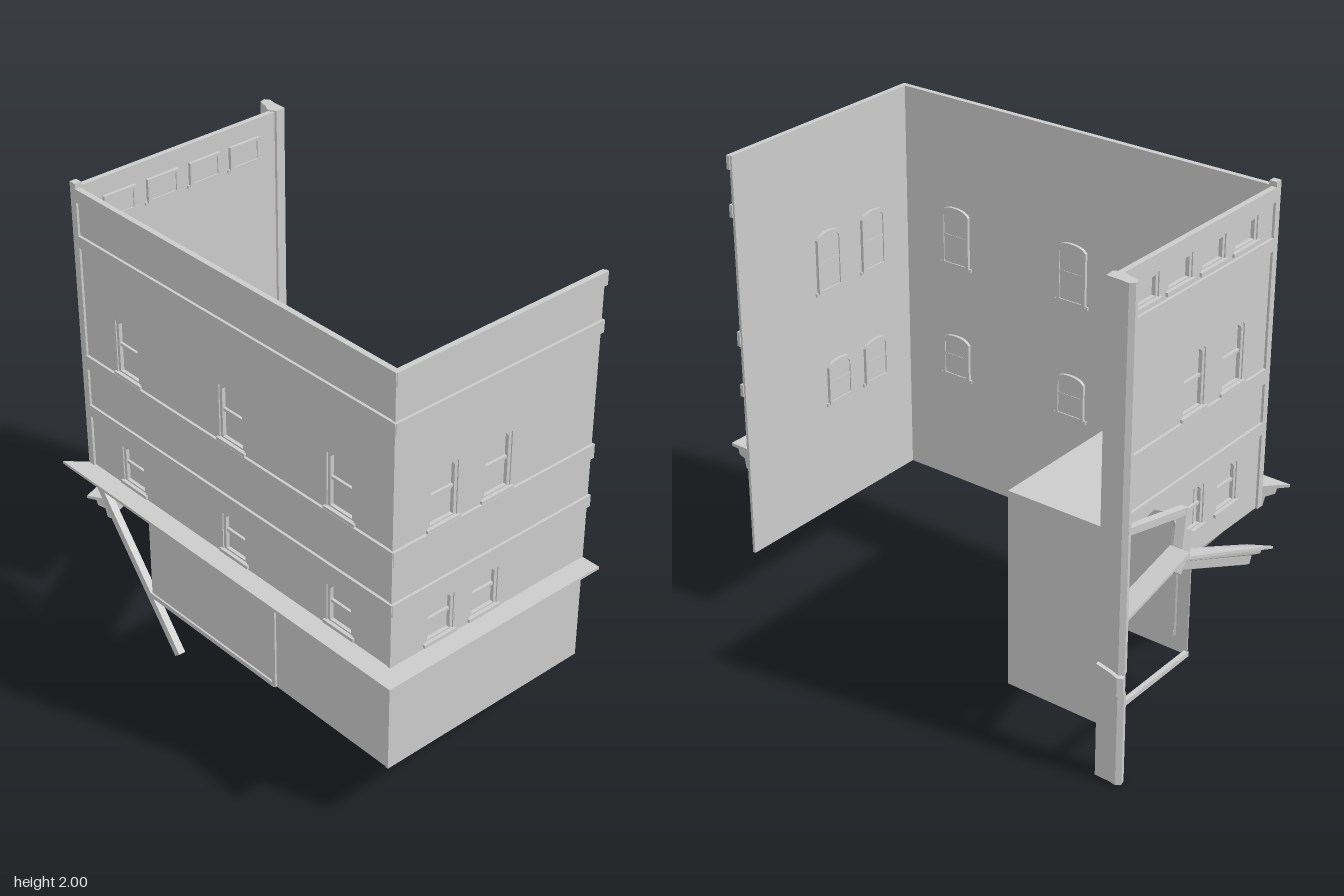
import * as THREE from 'three';

const mat = new THREE.MeshStandardMaterial({ color: 0xcccccc, side: THREE.DoubleSide, flatShading: true });

function add(parent, name, geo) {
  const m = new THREE.Mesh(geo, mat);
  m.name = name;
  parent.add(m);
  return m;
}

// Box given by its minimum and maximum corners
function block(parent, name, x0, x1, y0, y1, z0, z1) {
  const m = add(parent, name, new THREE.BoxGeometry(x1 - x0, y1 - y0, z1 - z0));
  m.position.set((x0 + x1) / 2, (y0 + y1) / 2, (z0 + z1) / 2);
  return m;
}

// Square bar between two points
function bar(parent, name, a, b, w, d) {
  const p = new THREE.Vector3(...a), q = new THREE.Vector3(...b);
  const m = add(parent, name, new THREE.BoxGeometry(w, d, p.distanceTo(q)));
  m.position.copy(p).add(q).multiplyScalar(0.5);
  m.lookAt(q);
  return m;
}

// Skin between closed cross-sections, with flat end caps
function loft(sections) {
  const n = sections[0].length, pos = [], idx = [];
  sections.forEach(s => s.forEach(p => pos.push(...p)));
  for (let s = 0; s < sections.length - 1; s++)
    for (let i = 0; i < n; i++) {
      const a = s * n + i, b = s * n + (i + 1) % n;
      idx.push(a, b, a + n, b, b + n, a + n);
    }
  const last = (sections.length - 1) * n;
  const flat = sections[0].map(p => new THREE.Vector2(p[0] + p[2], p[1]));
  for (const [a, b, c] of THREE.ShapeUtils.triangulateShape(flat, []))
    idx.push(a, c, b, last + a, last + b, last + c);
  const g = new THREE.BufferGeometry();
  g.setAttribute('position', new THREE.Float32BufferAttribute(pos, 3));
  g.setIndex(idx);
  const out = g.toNonIndexed();
  out.computeVertexNormals();
  return out;
}

const extrude = (shape, depth) =>
  new THREE.ExtrudeGeometry(shape, { depth, bevelEnabled: false, curveSegments: 6 });

// Window outline: rectangle with an optional shallow arched head
function opening(Type, u, y0, y1, w, rise) {
  const s = new Type(), h = w / 2;
  s.moveTo(u - h, y0);
  s.lineTo(u + h, y0);
  s.lineTo(u + h, y1 - rise);
  if (rise) s.quadraticCurveTo(u + h * 0.75, y1, u, y1).quadraticCurveTo(u - h * 0.75, y1, u - h, y1 - rise);
  else s.lineTo(u - h, y1);
  s.closePath();
  return s;
}

// Sash window set into the wall, with sill
function addWindow(wall, [u, y0, y1, w, rise]) {
  const g = new THREE.Group();
  g.name = 'window';
  wall.add(g);
  const ring = opening(THREE.Shape, u, y0, y1, w, rise);
  ring.holes.push(opening(THREE.Path, u, y0 + 0.012, y1 - 0.012, w - 0.028, rise));
  add(g, 'windowFrame', extrude(ring, 0.02)).position.z = -0.025;
  add(g, 'windowPane', new THREE.ShapeGeometry(opening(THREE.Shape, u, y0, y1, w, rise), 6)).position.z = -0.02;
  const mid = (y0 + y1) / 2;
  if (rise) block(g, 'meetingRail', u - w / 2, u + w / 2, mid - 0.006, mid + 0.006, -0.022, -0.009);
  block(g, 'windowSill', u - w / 2 - 0.01, u + w / 2 + 0.01, y0 - 0.008, y0 + 0.006, -0.02, 0.01);
}

// Wall sheet with outline, window openings and raised bands; local +z is outside
function makeWall(name, outline, windows, bands, u0, u1) {
  const wall = new THREE.Group();
  wall.name = name;
  const shape = new THREE.Shape(outline.map(p => new THREE.Vector2(...p)));
  for (const w of windows) shape.holes.push(opening(THREE.Path, ...w));
  add(wall, name + 'Face', extrude(shape, 0.012)).position.z = -0.012;
  for (const [y0, y1] of bands) block(wall, 'band', u0, u1, y0, y1, -0.004, 0.011);
  for (const w of windows) addWindow(wall, w);
  return wall;
}

const upper = u => [u, 1.272, 1.525, 0.138, 0.025];
const lower = u => [u, 0.772, 0.96, 0.138, 0.025];
const BANDS = [[1.925, 1.98], [1.735, 1.785], [1.205, 1.265], [0.99, 1.04]];
// Ledge profile: distance from wall, height
const LEDGE = [[0, 0.665], [0.012, 0.67], [0.018, 0.71], [0.045, 0.72], [0.05, 0.743], [0.085, 0.745], [0.085, 0.757], [0, 0.757]];

export function createModel() {
  const model = new THREE.Group();
  model.name = 'ruinedBuilding';

  // Front wall
  const front = makeWall('frontWall', [[-0.475, 0.29], [0.515, 0.29], [0.515, 1.98], [-0.475, 1.98]],
    [upper(-0.24), upper(0.022), lower(-0.236), lower(-0.015)], BANDS, -0.48, 0.52);
  front.position.z = 0.877;
  model.add(front);

  // Side wall, its lower back corner missing
  const side = makeWall('sideWall',
    [[-0.5, 0.29], [0.877, 0.29], [0.877, 1.98], [-0.845, 1.98], [-0.845, 0.68], [-0.5, 0.68]],
    [0.61, 0.03, -0.575].flatMap(z => [upper(z), lower(z)]), BANDS, -0.84, 0.885);
  side.rotation.y = -Math.PI / 2;
  side.position.x = -0.472;
  model.add(side);
  block(side, 'shopfrontSill', -0.5, 0.25, 0.285, 0.305, -0.008, 0.008);
  block(side, 'shopfrontPost', 0.24, 0.26, 0.29, 0.67, -0.006, 0.008);

  // Back wall with a broken lower corner
  const back = makeWall('backWall',
    [[-0.5, 0.93], [-0.44, 0.99], [-0.33, 0.96], [-0.24, 0.98], [-0.13, 0.92], [-0.09, 0.84], [-0.11, 0.74],
      [-0.06, 0.67], [0.47, 0.67], [0.47, 1.98], [-0.5, 1.98]],
    [upper(-0.015), upper(0.235), lower(0.015), lower(0.235),
      ...[-0.33, -0.13, 0.075, 0.28].map(u => [u, 1.805, 1.905, 0.15, 0])], BANDS, -0.49, 0.46);
  back.rotation.y = Math.PI;
  back.position.z = -0.852;
  model.add(back);

  // Corner pilaster standing on the broken edge, and its fallen lower half
  block(model, 'cornerPilaster', -0.482, -0.452, 0.67, 2, -0.862, -0.83);
  bar(model, 'fallenPilaster', [-0.465, 0.08, -0.345], [-0.465, 0.69, -0.83], 0.03, 0.035);

  // Ledge wrapping the front and side, mitred at the back
  add(model, 'ledge', loft([
    LEDGE.map(([d, y]) => [0.512, y, 0.877 + d]),
    LEDGE.map(([d, y]) => [-0.472 - d, y, 0.877 + d]),
    LEDGE.map(([d, y]) => [-0.472 - d, y, -0.852 - d]),
  ]));

  // Broken back ledge, sagging towards the corner
  add(model, 'saggingLedge', loft([[0.15, 0.02, 0], [-0.4, -0.22, 0.6]].map(([x, drop, skew]) =>
    LEDGE.map(([d, y]) => [x - d * skew, y + drop, -0.856 - d]))));
  // Torn-off ledge length, twisted against the column
  add(model, 'tornLedge', loft([[0.16, 0.05, -0.875], [0.5, -0.08, -0.84]].map(([x, drop, z]) =>
    LEDGE.map(([d, y]) => [x, y + drop, z - d]))));

  // Splintered boards around the hole
  bar(model, 'brokenBoard', [0.47, 1.0, -0.87], [0.1, 0.93, -0.89], 0.03, 0.03);
  bar(model, 'brokenBoard', [0.1, 0.94, -0.885], [0.15, 0.76, -0.9], 0.035, 0.025);
  bar(model, 'brokenBoard', [0.05, 0.82, -0.89], [0.16, 0.7, -0.9], 0.04, 0.02);

  // Recessed shopfront panel set diagonally
  const panel = new THREE.Group();
  panel.name = 'diagonalPanel';
  model.add(panel);
  bar(panel, 'panelFace', [-0.46, 0.48, -0.505], [-0.045, 0.48, -0.78], 0.012, 0.4);
  for (const y of [0.285, 0.67])
    bar(panel, 'panelRail', [-0.46, y, -0.505], [-0.045, y, -0.78], 0.02, 0.02);

  // Inner room: thin shell, open below and to the back
  const room = new THREE.Group();
  room.name = 'innerRoom';
  model.add(room);
  const t = 0.004;
  block(room, 'roomTop', -0.05, 0.517, 1.03 - t, 1.03, -0.835, -0.418);
  block(room, 'roomFront', -0.05, 0.517, 0.21, 1.03, -0.418 - t, -0.418);
  for (const x of [-0.05, 0.517 - t]) block(room, 'roomSide', x, x + t, 0.21, 1.03, -0.835, -0.418);
  block(room, 'roomThreshold', -0.05, 0.517, 0.205, 0.225, -0.84, -0.82);

  // Cracked column: lower stub, loose middle piece and tall shaft
  const outline = [[0.478, -0.865], [0.495, -0.832], [0.538, -0.835], [0.54, -0.9], [0.545, -0.93], [0.53, -0.948], [0.505, -0.94], [0.495, -0.9]];
  const column = new THREE.Group();
  column.name = 'column';
  model.add(column);
  const shaft = (name, y0, y1, slope, dx) => add(column, name, loft([y0, y1].map((y, k) =>
    outline.map(([x, z]) => [x + dx, y + (k ? slope[1] : slope[0]) * (z + 0.89), z]))));
  shaft('columnStub', 0, 0.4, [0, 0.25], 0);
  shaft('columnLoosePiece', 0.4, 0.475, [0.25, 0.2], 0.007);
  shaft('columnShaft', 0.485, 1.985, [0.2, 0], 0);

  return model;
}
